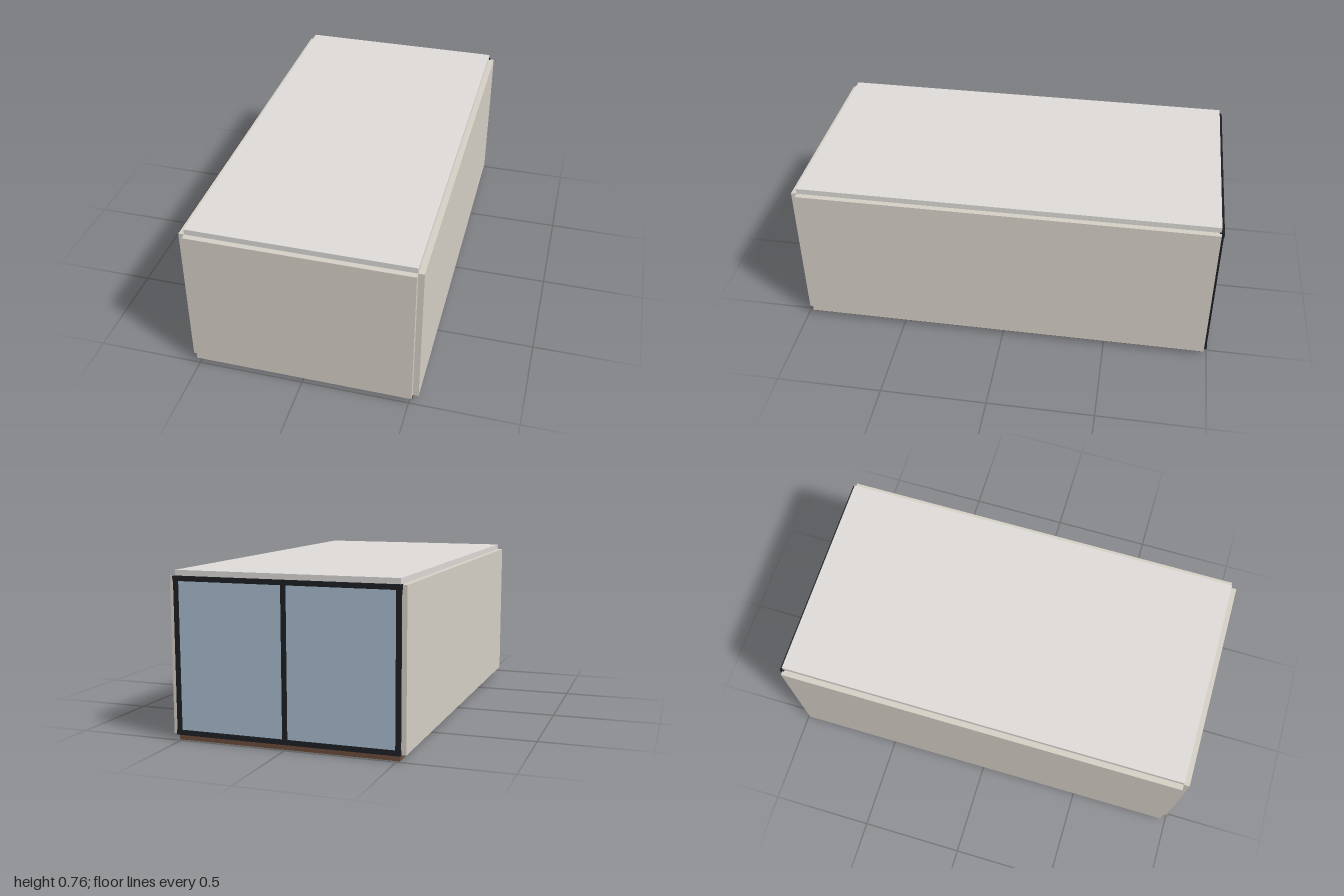
import * as THREE from 'three';

export function createModel() {
  const model = new THREE.Group();
  model.name = 'cabin';
  const mat = (color) => new THREE.MeshStandardMaterial({ color });
  const wallMat = mat(0xd6d0c6), roofMat = mat(0xdedbd8), floorMat = mat(0x6b4d3a);
  const frameMat = mat(0x1c1f23), glassMat = mat(0xa9bccf);

  // Box given by its [min, max] range along each axis
  function slab(name, material, [x0, x1], [y0, y1], [z0, z1], parent = model) {
    const mesh = new THREE.Mesh(new THREE.BoxGeometry(x1 - x0, y1 - y0, z1 - z0), material);
    mesh.position.set((x0 + x1) / 2, (y0 + y1) / 2, (z0 + z1) / 2);
    mesh.name = name;
    parent.add(mesh);
  }

  const W = 0.513, T = 0.027, H = 0.76;
  const inX = [-W, W], inY = [T, H - T], inZ = [-0.986, 0.973];

  // Shell panels: each sits outside the inner volume, leaving notched edges
  slab('floor', floorMat, inX, [0, T], inZ);
  slab('roof', roofMat, inX, [H - T, H], inZ);
  slab('leftWall', wallMat, [W, W + T], inY, inZ);
  slab('rightWall', wallMat, [-W - T, -W], inY, inZ);
  slab('frontWall', wallMat, inX, inY, [0.973, 1]);

  // Glazed back opening with a dark frame and centre mullion
  const glazing = new THREE.Group();
  glazing.name = 'backGlazing';
  model.add(glazing);
  const bar = 0.011, barZ = [-1, -0.978], postZ = [-0.998, -0.98];
  slab('glass', glassMat, inX, inY, [-0.992, -0.984], glazing);
  for (const [name, y] of [['bottomRail', T + 0.009], ['topRail', H - T - 0.009]])
    slab(name, frameMat, [-W - 0.007, W + 0.007], [y - bar, y + bar], barZ, glazing);
  for (const [name, x] of [['leftPost', W - 0.006], ['mullion', 0], ['rightPost', -W + 0.006]])
    slab(name, frameMat, [x - bar, x + bar], inY, postZ, glazing);

  return model;
}
